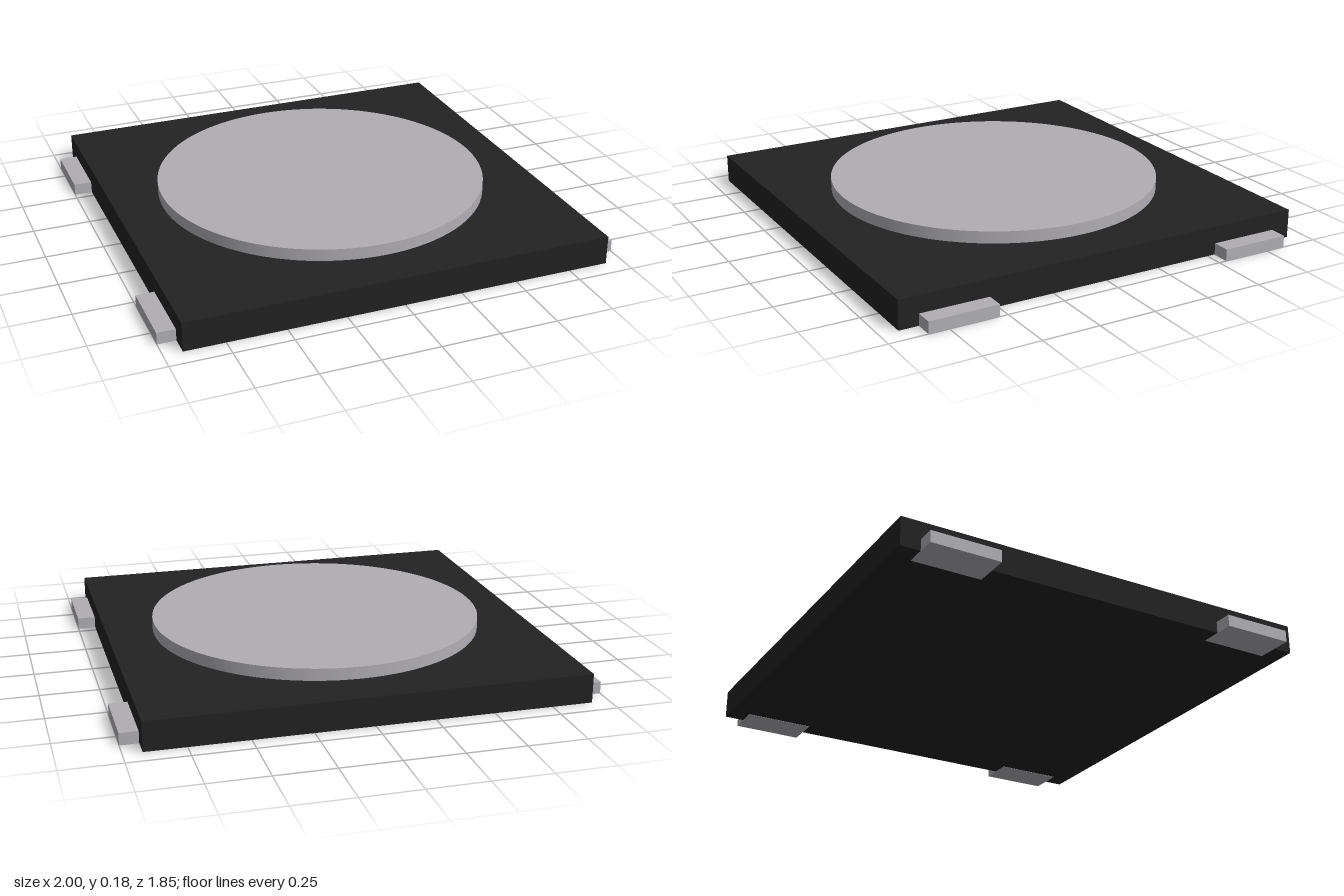
import * as THREE from 'three';

export function createModel() {
  const model = new THREE.Group();
  model.name = 'squareSurfaceMountPart';

  const black = new THREE.MeshStandardMaterial({ color: 0x222222 });
  black.name = 'black';
  const silver = new THREE.MeshStandardMaterial({ color: 0xb0aeb3 });
  silver.name = 'silver';

  const add = (name, geometry, material, x, y, z) => {
    const mesh = new THREE.Mesh(geometry, material);
    mesh.name = name;
    mesh.position.set(x, y, z);
    model.add(mesh);
  };

  // Square base, raised a hair so the terminals show underneath
  const bottom = 0.001, top = 0.126;
  add('base', new THREE.BoxGeometry(1.845, top - bottom, 1.845), black, 0, (top + bottom) / 2, 0);

  // Round raised disc on top
  const discTop = 0.178;
  add('disc', new THREE.CylinderGeometry(0.723, 0.723, discTop - top, 96), silver, 0, (discTop + top) / 2, 0);

  // Four terminals, partly sunk into the left and right sides
  const terminal = new THREE.BoxGeometry(0.16, 0.051, 0.302);
  for (const [side, sx] of [['Left', 1], ['Right', -1]]) {
    for (const [end, sz] of [['front', 1], ['back', -1]]) {
      add(`${end}${side}Terminal`, terminal, silver, sx * 0.92, 0.0255, sz * 0.686);
    }
  }
  return model;
}
